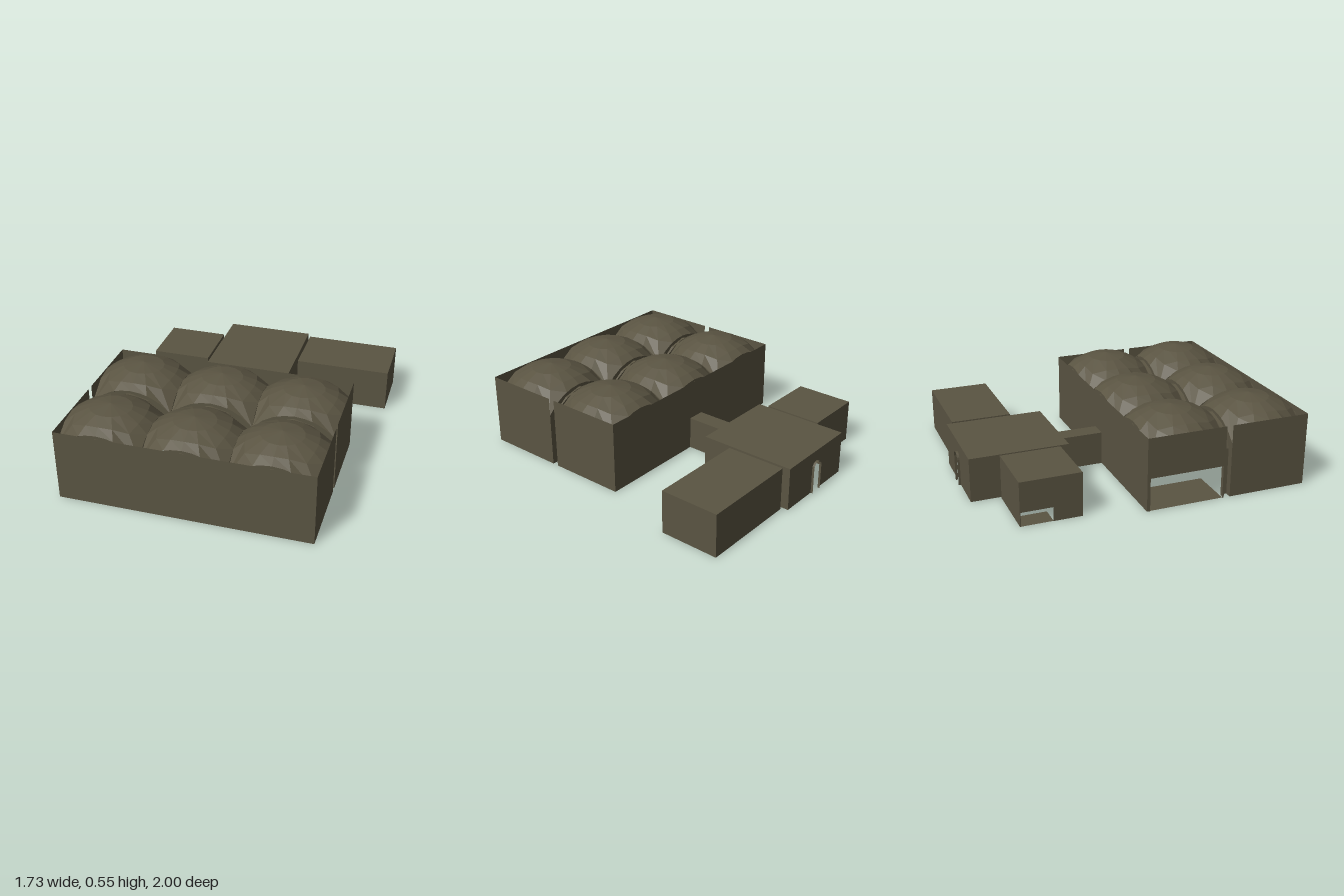
import * as THREE from 'three';

const stone = new THREE.MeshStandardMaterial({ color: 0x5a5442, side: THREE.DoubleSide, flatShading: true });
stone.name = 'dark stone';

// Hall layout
const X = [-0.865, -0.34, 0.185, 0.71];
const Z = [[-0.04, 0.45], [0.49, 0.98]];
const HX = 0.2625, HZ = 0.245, WALL = 0.465;
const SIDE = -Math.PI / 2; // turns a panel's width to run along +z

const vaultY = (x, z) => 0.13 + Math.sqrt(0.1764 - x * x - z * z);

function add(parent, geometry, name, x = 0, y = 0, z = 0, turn = 0) {
  const mesh = new THREE.Mesh(geometry, stone);
  mesh.name = name;
  mesh.position.set(x, y, z);
  mesh.rotation.y = turn;
  parent.add(mesh);
  return mesh;
}

// Upright wall from u0 to u1 with openings traced along its base
function panel(u0, u1, h, openings = []) {
  const pts = [[u0, 0], ...openings.flat(), [u1, 0], [u1, h], [u0, h]];
  return new THREE.ShapeGeometry(new THREE.Shape(pts.map(p => new THREE.Vector2(...p))));
}

// Round-headed doorway outline, left foot to right foot
function doorway(c, w = 0.08, h = 0.21) {
  const pts = [[c - w / 2, 0]];
  for (let i = 0; i <= 8; i++) {
    const a = Math.PI * (1 - i / 8);
    pts.push([c + Math.cos(a) * w / 2, h - w / 2 + Math.sin(a) * w / 2]);
  }
  return [...pts, [c + w / 2, 0]];
}
const boxOpening = (a, b, h) => [[a, 0], [a, h], [b, h], [b, 0]];

// Strip following an outline, with a depth along z
function ribbon(pts, depth) {
  const pos = [], index = [];
  pts.forEach(([x, y], i) => {
    pos.push(x, y, 0, x, y, depth);
    if (i) index.push(2 * i - 2, 2 * i - 1, 2 * i, 2 * i - 1, 2 * i + 1, 2 * i);
  });
  const g = new THREE.BufferGeometry();
  g.setAttribute('position', new THREE.Float32BufferAttribute(pos, 3));
  g.setIndex(index);
  g.computeVertexNormals();
  return g;
}

function plate(parent, name, x0, x1, z0, z1, y) {
  const g = new THREE.PlaneGeometry(x1 - x0, z1 - z0).rotateX(-Math.PI / 2);
  add(parent, g, name, (x0 + x1) / 2, y, (z0 + z1) / 2);
}

// Faceted vault: rings that grow from a circle into the bay's rectangle
function vaultGeometry() {
  const pos = [0, 0.552, 0], index = [], n = 16;
  const rings = [[0.5, 0], [0.8, 0.5], [1, 1]];
  rings.forEach(([size, square], r) => {
    for (let i = 0; i < n; i++) {
      const a = i / n * Math.PI * 2, c = Math.cos(a), s = Math.sin(a);
      const k = THREE.MathUtils.lerp(1, 1 / Math.max(Math.abs(c), Math.abs(s)), square);
      const x = c * k * size * HX, z = s * k * size * HZ;
      pos.push(x, vaultY(x, z), z);
      const j = (i + 1) % n, o = 1 + r * n, p = o - n;
      if (r === 0) index.push(0, o + j, o + i);
      else index.push(p + i, p + j, o + i, p + j, o + j, o + i);
    }
  });
  const g = new THREE.BufferGeometry();
  g.setAttribute('position', new THREE.Float32BufferAttribute(pos, 3));
  g.setIndex(index);
  g.computeVertexNormals();
  return g;
}

// Arch outline inside one bay side of half width hw
function archPoints(hw, crown) {
  const half = [[0.84, 0], [0.84, 0.3], [0.69, 0.38], [0.46, 0.425]].map(([u, y]) => [u * hw, y]);
  return [...half.map(([u, y]) => [-u, y]), [0, crown], ...half.reverse()];
}

// Face between an arch and the vault's edge, reaching the floor as two piers
function spandrel(hw, depth, crown) {
  const edge = [];
  for (let i = 0; i <= 8; i++) {
    const u = hw * (1 - i / 4);
    edge.push([u, vaultY(u, depth)]);
  }
  const pts = [[-hw, 0], ...archPoints(hw, crown), [hw, 0], ...edge];
  return new THREE.ShapeGeometry(new THREE.Shape(pts.map(p => new THREE.Vector2(...p))));
}

function makeHall() {
  const hall = new THREE.Group();
  hall.name = 'vaulted hall';
  const vault = vaultGeometry();
  const crossFace = spandrel(HX, HZ, 0.455), sideFace = spandrel(HZ, HX, 0.44);
  const arch = archPoints(HX, 0.455);
  for (let i = 0; i < 3; i++) {
    const cx = (X[i] + X[i + 1]) / 2;
    for (const [z0, z1] of Z) {
      const cz = (z0 + z1) / 2;
      add(hall, vault, 'vault', cx, 0, cz);
      add(hall, crossFace, 'archFace', cx, 0, z0);
      add(hall, crossFace, 'archFace', cx, 0, z1);
      if (i) add(hall, sideFace, 'sideArchFace', X[i], 0, cz, SIDE);
    }
    // Arch soffits across the gaps and against the end walls
    add(hall, ribbon(arch, 0.015), 'backArch', cx, 0, -0.055);
    add(hall, ribbon(arch, 0.04), 'middleArch', cx, 0, 0.45);
    add(hall, ribbon(arch, 0.02), 'frontArch', cx, 0, 0.98);
  }
  add(hall, panel(X[0], X[3], WALL), 'frontWall', 0, 0, 1);
  add(hall, panel(X[0], X[3], WALL, [boxOpening(-0.135, -0.02, 0.215)]), 'backWall', 0, 0, -0.055);
  // Side walls, split by a slot between the two rows of bays
  add(hall, panel(-0.055, 0.45, WALL), 'rightSideWall', X[3], 0, 0, SIDE);
  add(hall, panel(0.49, 1, WALL), 'rightSideWall', X[3], 0, 0, SIDE);
  add(hall, panel(-0.055, 0.45, WALL, [boxOpening(-0.035, 0.44, 0.21)]), 'openSideWall', X[0], 0, 0, SIDE);
  add(hall, panel(0.49, 1, WALL), 'openSideWall', X[0], 0, 0, SIDE);
  plate(hall, 'sideThreshold', X[0], -0.58, -0.04, 0.44, 0.002);
  return hall;
}

// Flat-roofed room, open underneath; doors holds openings per wall
function makeRoom(name, x0, x1, z0, z1, doors) {
  const room = new THREE.Group(), h = 0.28;
  room.name = name;
  add(room, panel(x0, x1, h, doors.back), 'backWall', 0, 0, z0);
  add(room, panel(x0, x1, h, doors.front), 'frontWall', 0, 0, z1);
  add(room, panel(z0, z1, h, doors.low), 'sideWall', x0, 0, 0, SIDE);
  add(room, panel(z0, z1, h, doors.high), 'sideWall', x1, 0, 0, SIDE);
  plate(room, 'roof', x0, x1, z0, z1, h);
  return room;
}

export function createModel() {
  const model = new THREE.Group();
  model.name = 'underground hall';
  model.add(makeHall());

  const west = doorway(-0.62), east = doorway(-0.75), back = doorway(-0.08);
  const passage = boxOpening(-0.135, -0.02, 0.215);
  model.add(makeRoom('centreRoom', -0.37, 0.21, -0.985, -0.36,
    { back: [back], front: [passage], low: [west], high: [east] }));
  model.add(makeRoom('smallRoom', -0.775, -0.385, -0.8, -0.42,
    { high: [west], low: [boxOpening(-0.795, -0.6, 0.09)] }));
  model.add(makeRoom('longRoom', 0.23, 0.86, -0.945, -0.56, { low: [east] }));
  plate(model, 'roomThreshold', -0.775, -0.65, -0.795, -0.6, 0.002);

  // Corridor and the short door tunnels
  add(model, ribbon(passage, 0.305), 'corridor', 0, 0, -0.36);
  add(model, ribbon(back, 0.015), 'backDoorway', 0, 0, -1);
  add(model, ribbon(west, 0.015), 'smallRoomDoorway', -0.37, 0, 0, SIDE);
  add(model, ribbon(east, 0.02), 'longRoomDoorway', 0.23, 0, 0, SIDE);
  return model;
}
